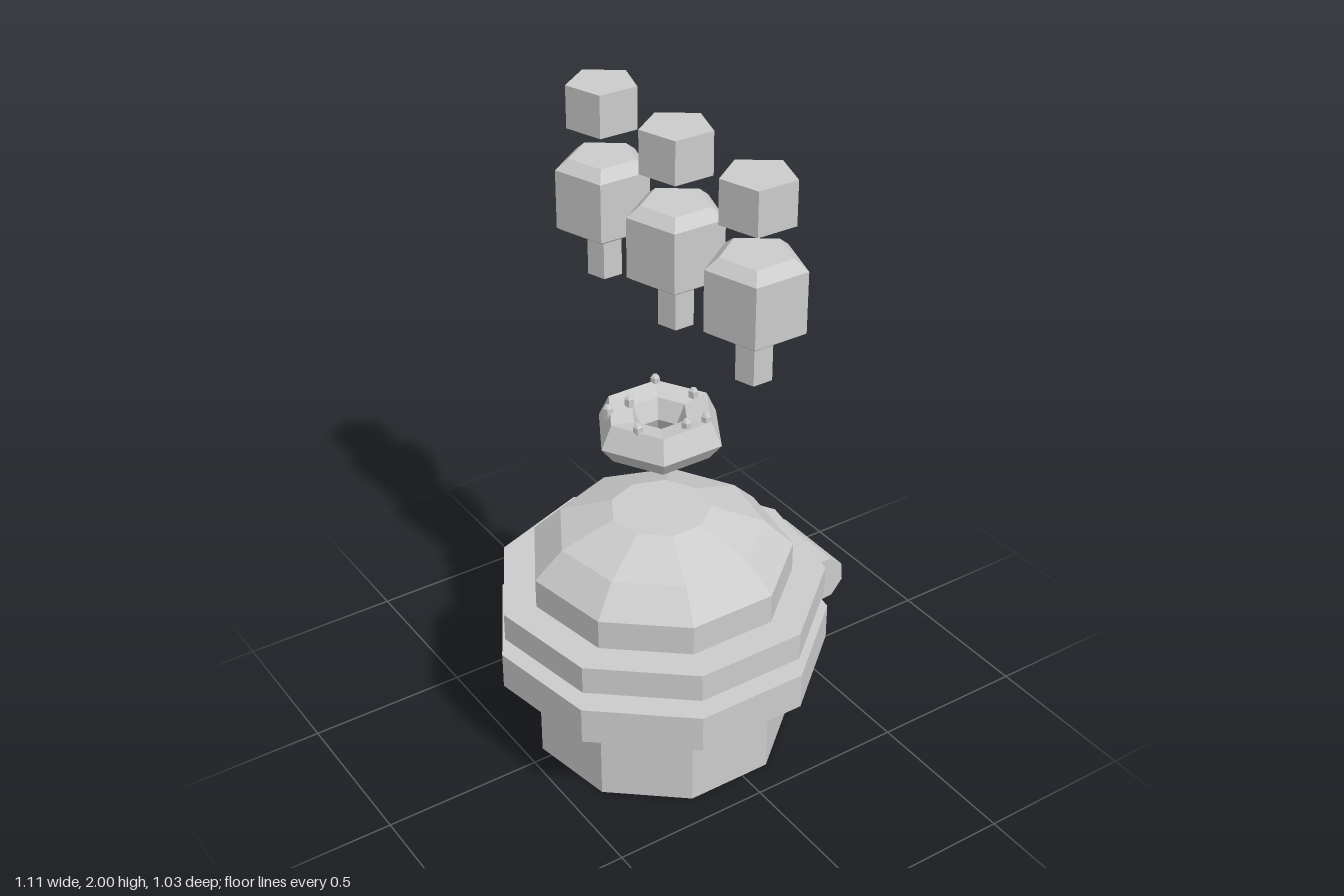
import * as THREE from 'three';

const mat = new THREE.MeshStandardMaterial({ color: 0xcccccc, flatShading: true });

// Faceted solid of revolution; profile is [radius, y] from bottom to top
function turned(name, sides, profile, x, z, spin = Math.PI) {
  const points = profile.map(([r, y]) => new THREE.Vector2(r, y));
  const mesh = new THREE.Mesh(new THREE.LatheGeometry(points, sides), mat);
  mesh.name = name;
  mesh.rotation.y = spin;
  mesh.position.set(x, 0, z);
  return mesh;
}

export function createModel() {
  const model = new THREE.Group();
  model.name = 'explodedCanister';
  const cx = -0.048, cz = 0.028;

  // Nine-sided pot with its flange
  model.add(turned('pot', 9, [
    [0, 0], [0.404, 0], [0.404, 0.29], [0.519, 0.29], [0.519, 0.408], [0, 0.408],
  ], cx, cz));

  // Domed lid floating above the pot
  model.add(turned('lid', 9, [
    [0, 0.465], [0.507, 0.465], [0.507, 0.555], [0.404, 0.555],
    [0.404, 0.65], [0.317, 0.735], [0.152, 0.8], [0, 0.8],
  ], cx, cz));

  // Handle bar at the side
  const handle = new THREE.Mesh(
    new THREE.CylinderGeometry(0.08, 0.08, 0.29, 8, 1, false, THREE.MathUtils.degToRad(28)), mat);
  handle.name = 'handle';
  handle.rotation.x = Math.PI / 2;
  handle.position.set(0.476, 0.404, 0.025);
  model.add(handle);

  // Six-sided ring with a waisted hole
  model.add(turned('ring', 6, [
    [0.06, 1.07], [0.085, 1.02], [0.16, 1.02], [0.2, 1.072],
    [0.166, 1.143], [0.088, 1.13], [0.06, 1.07],
  ], cx, 0.025, Math.PI / 6));

  // Small studs on the ring
  const studs = [[-0.18, -0.045], [-0.1, -0.055], [-0.165, 0.09], [-0.035, 0.145],
    [0.03, 0.15], [0.08, 0.012], [0.03, -0.115]];
  for (const [x, z] of studs) {
    model.add(turned('stud', 5, [
      [0, 1.12], [0.015, 1.12], [0.015, 1.157], [0.008, 1.165], [0, 1.165],
    ], x, z));
  }

  // Row of three five-sided knobs, each with a stem and a separate cap
  for (const z of [-0.372, 0.004, 0.379]) {
    model.add(turned('knob', 5, [
      [0, 1.4], [0.053, 1.4], [0.053, 1.553], [0.13, 1.553], [0.144, 1.562],
      [0.144, 1.745], [0.104, 1.776], [0, 1.776],
    ], 0.0235, z));
    model.add(turned('knobCap', 5, [
      [0, 1.87], [0.107, 1.87], [0.107, 2], [0, 2],
    ], 0.0235, z));
  }
  return model;
}
